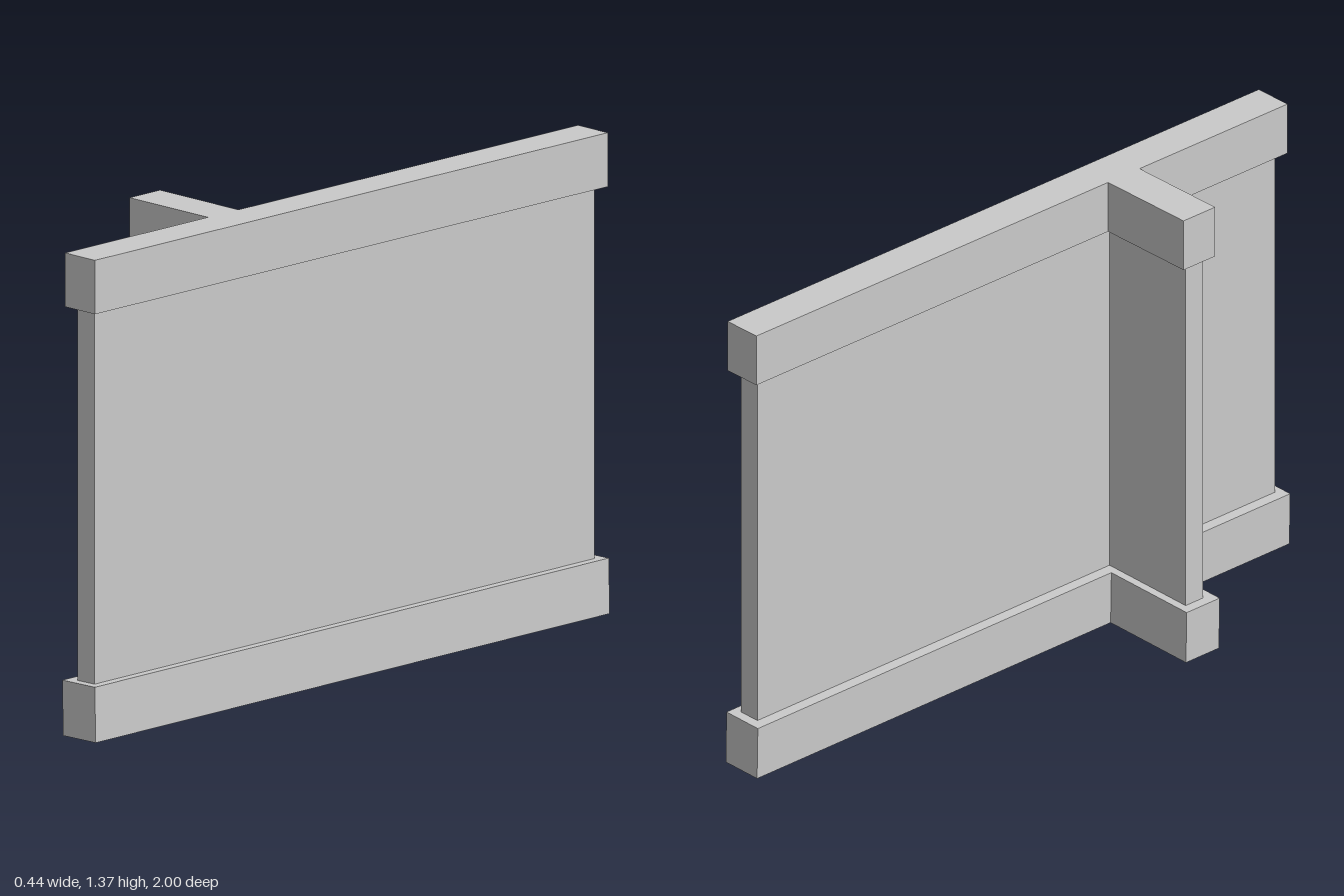
import * as THREE from 'three';

const material = new THREE.MeshStandardMaterial({ color: 0xcccccc, flatShading: true });

// Upright slab with a T-shaped footprint: a long wall along z and a short fin towards -x
function tee(name, { x0, x1, z0, z1, finX, finZ0, finZ1, height }) {
  const outline = [
    [x0, z0], [x1, z0], [x1, z1], [x0, z1],
    [x0, finZ1], [finX, finZ1], [finX, finZ0], [x0, finZ0],
  ];
  const shape = new THREE.Shape(outline.map(([x, z]) => new THREE.Vector2(x, -z)));
  const geometry = new THREE.ExtrudeGeometry(shape, { depth: height, bevelEnabled: false });
  geometry.rotateX(-Math.PI / 2);
  const mesh = new THREE.Mesh(geometry, material);
  mesh.name = name;
  return mesh;
}

export function createModel() {
  const group = new THREE.Group();
  group.name = 'wallSection';

  // Base rail, tilted very slightly sideways
  const baseRail = tee('baseRail', {
    x0: 0.085, x1: 0.211, z0: -1, z1: 1,
    finX: -0.218, finZ0: 0.328, finZ1: 0.452, height: 0.157,
  });
  baseRail.position.y = 0.0045;
  baseRail.rotation.z = 0.02;

  // Thin wall panel, its ends sunk into both rails
  const wallPanel = tee('wallPanel', {
    x0: 0.116, x1: 0.182, z0: -0.97, z1: 0.975,
    finX: -0.19, finZ0: 0.353, finZ1: 0.419, height: 1.14,
  });
  wallPanel.position.y = 0.12;

  // Top rail, turned very slightly
  const topRail = tee('topRail', {
    x0: 0.094, x1: 0.21, z0: -0.99, z1: 0.996,
    finX: -0.211, finZ0: 0.325, finZ1: 0.443, height: 0.153,
  });
  topRail.position.y = 1.222;
  topRail.rotation.y = -0.005;

  group.add(baseRail, wallPanel, topRail);
  return group;
}
